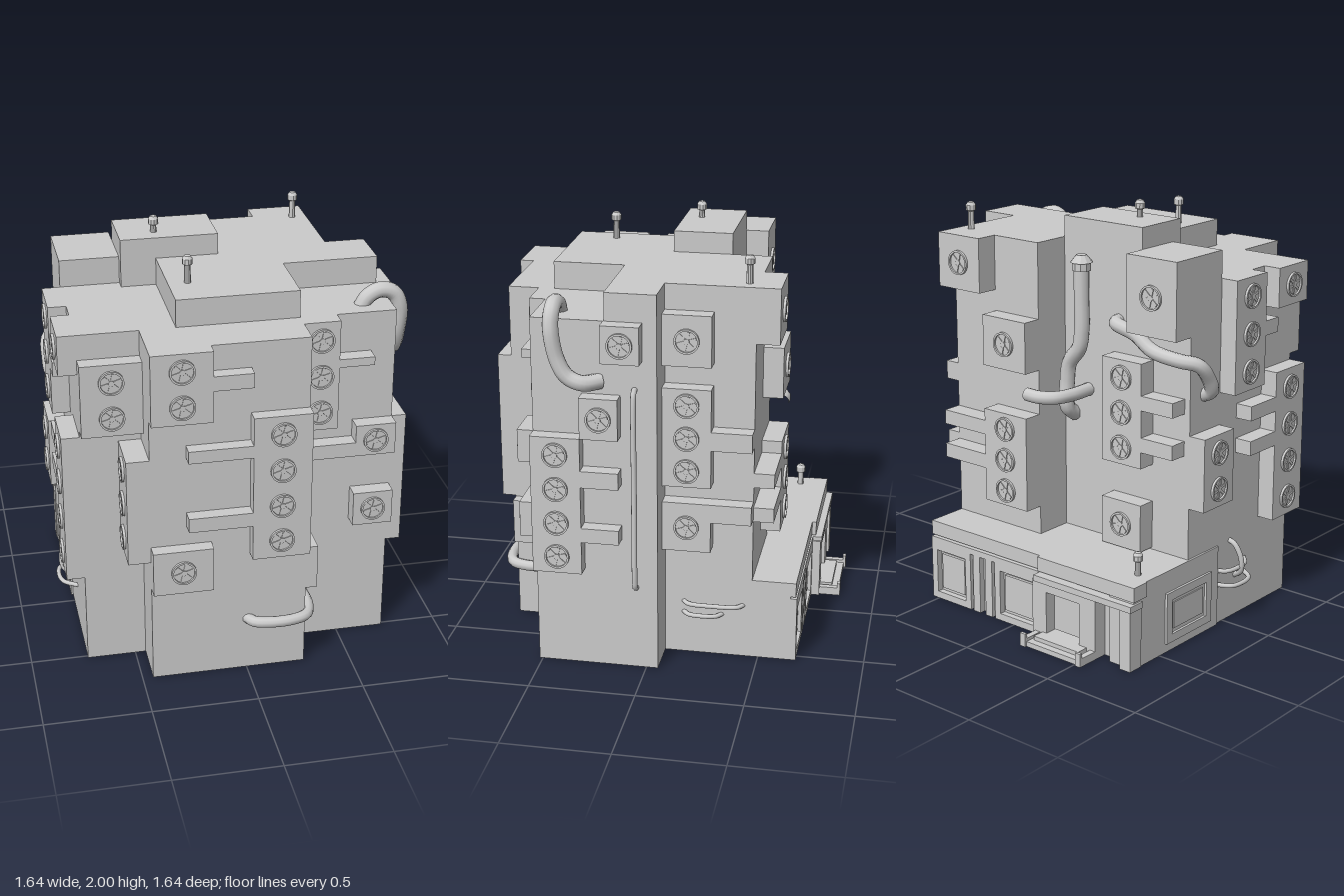
import * as THREE from 'three';

const grey = new THREE.MeshStandardMaterial({ color: 0xcccccc, flatShading: true });
const smooth = new THREE.MeshStandardMaterial({ color: 0xcccccc });
const V = (a) => new THREE.Vector3(...a);

export function createModel() {
  const root = new THREE.Group();
  root.name = 'towerBlock';

  const add = (parent, name, geo, mat = grey) => {
    const m = new THREE.Mesh(geo, mat);
    m.name = name;
    parent.add(m);
    return m;
  };
  // Box given by its bounds
  const box = (parent, name, x0, x1, y0, y1, z0, z1) => {
    const m = add(parent, name, new THREE.BoxGeometry(x1 - x0, y1 - y0, z1 - z0));
    m.position.set((x0 + x1) / 2, (y0 + y1) / 2, (z0 + z1) / 2);
    return m;
  };

  // Fan: raised rim, sunken plate, hub and blades, facing +z
  const rimShape = new THREE.Shape().absarc(0, 0, 0.058, 0, Math.PI * 2);
  rimShape.holes.push(new THREE.Path().absarc(0, 0, 0.049, 0, Math.PI * 2, true));
  const rimGeo = new THREE.ExtrudeGeometry(rimShape, { depth: 0.012, bevelEnabled: false, curveSegments: 20 });
  const plateGeo = new THREE.CircleGeometry(0.05, 20).translate(0, 0, 0.003);
  const bladeGeo = new THREE.BoxGeometry(0.09, 0.012, 0.004).translate(0, 0, 0.005);
  const hubGeo = new THREE.CylinderGeometry(0.014, 0.014, 0.01, 10).rotateX(Math.PI / 2).translate(0, 0, 0.005);
  const fan = () => {
    const g = new THREE.Group();
    g.name = 'fan';
    add(g, 'fanRim', rimGeo);
    add(g, 'fanPlate', plateGeo);
    add(g, 'fanHub', hubGeo);
    for (let i = 0; i < 3; i++) add(g, 'fanBlade', bladeGeo).rotation.z = (i * Math.PI) / 3 + 0.3;
    return g;
  };

  // Cooling unit on a wall: axis 'x' or 'z', sign of its outward direction,
  // u range along the wall, y range, number of fans, and side ducts [u0,u1,y0,y1]
  const unit = (axis, sign, wall, depth, u0, u1, y0, y1, fans, ducts = []) => {
    const g = new THREE.Group();
    g.name = 'coolingUnit';
    root.add(g);
    const lo = Math.min(wall, wall + sign * depth), hi = Math.max(wall, wall + sign * depth);
    const part = (name, a, b, c, d) =>
      axis === 'x' ? box(g, name, lo, hi, c, d, a, b) : box(g, name, a, b, c, d, lo, hi);
    part('unitCase', u0, u1, y0, y1);
    ducts.forEach((d) => part('sideDuct', ...d));
    const u = (u0 + u1) / 2, face = wall + sign * depth, step = (y1 - y0) / fans;
    for (let i = 0; i < fans; i++) {
      const f = fan(), y = y0 + step * (i + 0.5);
      if (axis === 'x') { f.position.set(face, y, u); f.rotation.y = sign * Math.PI / 2; }
      else { f.position.set(u, y, face); if (sign < 0) f.rotation.y = Math.PI; }
      g.add(f);
    }
  };

  // Main volumes
  const body = new THREE.Group();
  body.name = 'building';
  root.add(body);
  box(body, 'mainBody', -0.73, 0.73, 0, 1.69, -0.055, 0.515);
  box(body, 'frontTower', -0.45, 0.28, 0, 1.69, 0.4, 0.735);
  box(body, 'leftRearBody', 0.01, 0.54, 0, 1.82, -0.468, 0);
  box(body, 'rightRearBody', -0.73, 0.05, 0, 1.82, -0.28, -0.055);
  box(body, 'roofCentre', -0.285, 0.28, 1.6, 1.82, -0.055, 0.515);
  box(body, 'roofLeft', 0.2, 0.73, 1.6, 1.82, -0.055, 0.18);
  box(body, 'roofHut', -0.45, 0.01, 1.6, 1.92, -0.28, 0);

  // Units on the front
  unit('z', 1, 0.735, 0.065, -0.45, -0.17, 1.35, 1.69, 2, [[-0.17, 0.01, 1.5, 1.57]]);
  unit('z', 1, 0.735, 0.065, 0.01, 0.28, 0.63, 1.35, 4,
    [[-0.285, 0.01, 1.155, 1.215], [-0.285, 0.01, 0.805, 0.875]]);
  unit('z', 1, 0.735, 0.065, -0.45, -0.17, 0.49, 0.71, 1);
  unit('z', 1, 0.515, 0.075, 0.28, 0.45, 1.155, 1.69, 3, [[0.45, 0.615, 1.46, 1.5]]);
  unit('z', 1, 0.515, 0.075, 0.54, 0.73, 1, 1.155, 1, [[0.28, 0.54, 1, 1.07]]);
  unit('z', 1, 0.515, 0.075, 0.54, 0.73, 0.63, 0.8, 1);
  unit('z', 1, 0.515, 0.075, -0.73, -0.45, 1.22, 1.57, 2);
  unit('x', 1, 0.28, 0.055, 0.515, 0.735, 0.405, 0.625, 1);
  unit('x', -1, -0.45, 0.105, 0.515, 0.735, 0.63, 1.155, 3);
  // Units on the left side
  unit('x', 1, 0.73, 0.07, 0.285, 0.515, 0.49, 1.155, 4,
    [[0.11, 0.285, 0.92, 1], [0.11, 0.285, 0.65, 0.72]]);
  unit('x', 1, 0.73, 0.07, 0.11, 0.285, 1.155, 1.35, 1);
  unit('x', 1, 0.73, 0.07, 0.01, 0.185, 1.515, 1.69, 1);
  unit('x', 1, 0.54, 0.075, -0.28, -0.055, 0.88, 1.355, 3, [[-0.468, -0.28, 1.065, 1.155]]);
  unit('x', 1, 0.54, 0.075, -0.28, -0.055, 0.56, 0.8, 1, [[-0.468, -0.28, 0.71, 0.8]]);
  unit('x', 1, 0.54, 0.075, -0.28, -0.055, 1.46, 1.7, 1);
  // Units on the back
  unit('z', -1, -0.468, 0.107, 0.28, 0.54, 1.56, 1.82, 1);
  unit('z', -1, -0.468, 0.095, 0.01, 0.275, 1.215, 1.46, 1);
  unit('z', -1, -0.468, 0.095, 0.01, 0.275, 0.54, 1, 3,
    [[0.275, 0.54, 0.87, 0.94], [0.275, 0.54, 0.7, 0.77]]);
  unit('z', -1, -0.28, 0.11, -0.73, -0.45, 1.46, 1.82, 1);
  unit('z', -1, -0.28, 0.09, -0.52, -0.29, 0.82, 1.32, 3,
    [[-0.7, -0.52, 1.1, 1.17], [-0.7, -0.52, 0.9, 0.97]]);
  unit('z', -1, -0.28, 0.09, -0.52, -0.29, 0.41, 0.64, 1);
  // Units on the right side
  unit('x', -1, -0.73, 0.085, -0.055, 0.18, 1.155, 1.69, 3, [[0.18, 0.28, 1.39, 1.46]]);
  unit('x', -1, -0.73, 0.085, 0.28, 0.515, 1.5, 1.69, 1);
  unit('x', -1, -0.73, 0.085, 0.28, 0.515, 0.45, 1.19, 4,
    [[0.08, 0.28, 1, 1.07], [0.08, 0.28, 0.83, 0.9]]);
  unit('x', -1, -0.73, 0.085, -0.28, -0.055, 0.65, 1, 2);

  // Pipes and cables
  const pipe = (name, r, pts, n = 32) =>
    add(root, name, new THREE.TubeGeometry(new THREE.CatmullRomCurve3(pts.map(V)), n, r, 10), smooth);
  pipe('roofPipe', 0.037, [[0.59, 1.67, 0.41], [0.62, 1.72, 0.41], [0.68, 1.75, 0.41], [0.745, 1.73, 0.41],
    [0.775, 1.66, 0.41], [0.775, 1.52, 0.385], [0.775, 1.44, 0.34], [0.77, 1.41, 0.27], [0.72, 1.41, 0.2]], 48);
  pipe('sideConduit', 0.013, [[0.72, 1.38, 0.045], [0.755, 1.375, 0.045], [0.765, 1.34, 0.045],
    [0.765, 0.9, 0.045], [0.765, 0.46, 0.045], [0.755, 0.42, 0.045], [0.72, 0.41, 0.045]], 48);
  pipe('frontPipe', 0.026, [[0.0, 0.27, 0.72], [0.03, 0.27, 0.765], [0.1, 0.27, 0.785], [0.2, 0.27, 0.785],
    [0.28, 0.27, 0.755], [0.31, 0.27, 0.68], [0.31, 0.27, 0.5]]);
  pipe('ventStack', 0.037, [[-0.135, 1.72, -0.33], [-0.135, 1.55, -0.33], [-0.135, 1.4, -0.33],
    [-0.12, 1.32, -0.33], [-0.06, 1.24, -0.33], [-0.045, 1.15, -0.33], [-0.045, 1.02, -0.33], [-0.045, 0.97, -0.27]], 40);
  add(root, 'ventCap', new THREE.CylinderGeometry(0.025, 0.053, 0.035, 10)).position.set(-0.135, 1.745, -0.33);
  add(root, 'ventCollar', new THREE.CylinderGeometry(0.045, 0.045, 0.04, 10)).position.set(-0.135, 1.71, -0.33);
  pipe('backElbow', 0.032, [[0.03, 1.11, -0.53], [-0.05, 1.11, -0.53], [-0.11, 1.11, -0.49],
    [-0.135, 1.11, -0.41], [-0.135, 1.11, -0.27]]);
  pipe('cornerPipe', 0.033, [[-0.31, 1.47, -0.26], [-0.335, 1.47, -0.325], [-0.45, 1.44, -0.33], [-0.55, 1.38, -0.33],
    [-0.7, 1.36, -0.33], [-0.775, 1.34, -0.28], [-0.785, 1.27, -0.22], [-0.775, 1.2, -0.18], [-0.72, 1.17, -0.17]], 48);
  for (const [y, z] of [[0.265, -0.43], [0.21, -0.33]])
    pipe('wallCable', 0.011, [[0.53, y, -0.14], [0.565, y, -0.17], [0.575, y, (z - 0.14) / 2], [0.565, y, z + 0.03], [0.53, y, z]]);
  for (const [y, x] of [[0.27, -0.77], [0.2, -0.795]])
    pipe('wallCable', 0.011, [[-0.72, y, -0.05], [x, y, -0.01], [x, y, 0.12], [-0.72, y, 0.18]]);
  pipe('wallCable', 0.013, [[-0.72, 0.4, 0.05], [-0.76, 0.385, 0.05], [-0.79, 0.32, 0.06], [-0.785, 0.25, 0.07], [-0.72, 0.2, 0.1]]);

  // Roof masts with rounded heads
  const mastGeo = new THREE.LatheGeometry([[0, 0], [0.016, 0], [0.014, 0.085], [0.024, 0.09], [0.024, 0.115],
    [0.015, 0.128], [0, 0.133]].map((p) => new THREE.Vector2(...p)), 10);
  for (const p of [[-0.28, 1.87, -0.085], [-0.195, 1.82, 0.32], [0.47, 1.82, -0.425], [-0.66, 0.38, -0.56]])
    add(root, 'mast', mastGeo).position.set(...p);

  // Shop along the back at street level
  const shop = new THREE.Group();
  shop.name = 'shop';
  root.add(shop);
  box(shop, 'shopBody', -0.73, 0.54, 0, 0.4, -0.65, -0.2);
  box(shop, 'shopSideWall', -0.74, -0.6, 0, 0.4, -0.69, -0.055);
  box(shop, 'fascia', -0.17, 0.54, 0.33, 0.4, -0.675, -0.6);
  box(shop, 'fasciaRight', -0.745, -0.17, 0.33, 0.4, -0.695, -0.6);
  box(shop, 'cornice', -0.75, -0.17, 0.29, 0.32, -0.725, -0.64);
  box(shop, 'corniceLeft', -0.17, 0.54, 0.29, 0.32, -0.68, -0.64);

  // Framed window, centred on the origin and facing -z
  const framed = (name, w, h, depth, border) => {
    const s = new THREE.Shape([[-w, -h], [w, -h], [w, h], [-w, h]].map((p) => new THREE.Vector2(p[0] / 2, p[1] / 2)));
    const a = w / 2 - border, b = h / 2 - border;
    s.holes.push(new THREE.Path([[-a, -b], [-a, b], [a, b], [a, -b]].map((p) => new THREE.Vector2(...p))));
    const g = new THREE.Group();
    g.name = name;
    add(g, 'frame', new THREE.ExtrudeGeometry(s, { depth, bevelEnabled: false }).translate(0, 0, -depth));
    box(g, 'pane', -a + 0.02, a - 0.02, -b + 0.02, b - 0.02, -depth * 0.5, 0);
    shop.add(g);
    return g;
  };
  framed('shopWindow', 0.26, 0.29, 0.03, 0.035).position.set(0.41, 0.145, -0.65);
  framed('shopWindow', 0.29, 0.29, 0.03, 0.035).position.set(-0.025, 0.145, -0.65);
  framed('shopDoor', 0.28, 0.29, 0.07, 0.04).position.set(-0.345, 0.145, -0.65);
  const side = framed('sideWindow', 0.34, 0.25, 0.012, 0.04);
  side.position.set(-0.74, 0.17, -0.29);
  side.rotation.y = Math.PI / 2;
  for (const x of [0.16, 0.24]) box(shop, 'pillar', x - 0.022, x + 0.022, 0, 0.3, -0.68, -0.64);
  for (const x of [-0.19, -0.51, -0.715]) box(shop, 'pillar', x - 0.03, x + 0.03, 0, 0.3, -0.72, -0.64);

  // Door steps with end kerbs
  box(shop, 'lowerStep', -0.51, -0.2, 0, 0.025, -0.815, -0.64);
  box(shop, 'upperStep', -0.49, -0.22, 0, 0.045, -0.78, -0.64);
  for (const x of [-0.525, -0.19]) {
    box(shop, 'stepKerb', x - 0.015, x + 0.015, 0, 0.04, -0.81, -0.64);
    box(shop, 'kerbPost', x - 0.015, x + 0.015, 0, 0.065, -0.825, -0.81);
  }
  return root;
}
